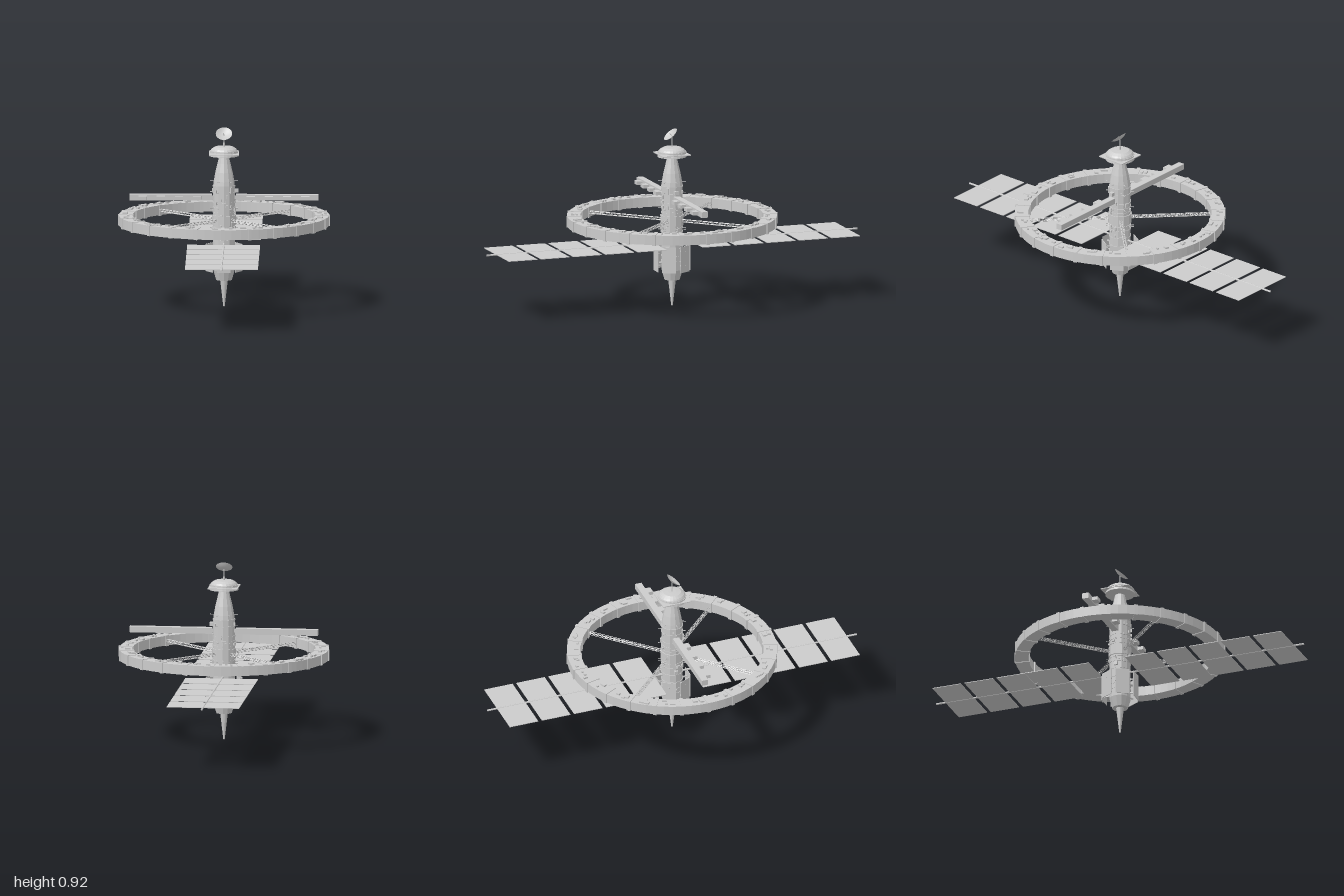
import * as THREE from 'three';

const V = (x, y, z) => new THREE.Vector3(x, y, z);

export function createModel() {
  const root = new THREE.Group();
  root.name = 'spaceStation';
  const flat = new THREE.MeshStandardMaterial({ color: 0xcccccc, flatShading: true });
  const flatDouble = new THREE.MeshStandardMaterial({ color: 0xcccccc, flatShading: true, side: THREE.DoubleSide });
  const smooth = new THREE.MeshStandardMaterial({ color: 0xcccccc, side: THREE.DoubleSide });

  let seed = 7;
  const rand = () => (seed = (seed * 16807) % 2147483647) / 2147483647;

  const add = (parent, name, geo, x = 0, y = 0, z = 0, mat = flat) => {
    const m = new THREE.Mesh(geo, mat);
    m.name = name;
    m.position.set(x, y, z);
    parent.add(m);
    return m;
  };
  const group = (name, parent = root, turn = 0) => {
    const g = new THREE.Group();
    g.name = name;
    g.rotation.y = turn;
    parent.add(g);
    return g;
  };
  const box = (p, name, w, h, d, x, y, z) => add(p, name, new THREE.BoxGeometry(w, h, d), x, y, z);
  const lathe = (p, name, pts, n, mat = flat) =>
    add(p, name, new THREE.LatheGeometry(pts.map(([r, y]) => new THREE.Vector2(r, y)), n), 0, 0, 0, mat);
  const strut = (p, name, a, b, r, sides = 6) => {
    const m = add(p, name, new THREE.CylinderGeometry(r, r, a.distanceTo(b), sides));
    m.position.copy(a).add(b).multiplyScalar(0.5);
    m.quaternion.setFromUnitVectors(V(0, 1, 0), b.clone().sub(a).normalize());
    return m;
  };

  // Central hull: engine shroud, straight body and tapering nose
  const core = group('core');
  lathe(core, 'hull', [[0, 0.138], [0.04, 0.138], [0.055, 0.19], [0.055, 0.62], [0.052, 0.645],
    [0.044, 0.69], [0.033, 0.735], [0.022, 0.785], [0, 0.785]], 12);
  lathe(core, 'tailSpike', [[0, 0], [0.004, 0.003], [0.02, 0.14]], 16);
  for (const y of [0.235, 0.262, 0.3, 0.345, 0.385, 0.41, 0.485, 0.51, 0.535, 0.585, 0.62])
    add(core, 'hullRib', new THREE.CylinderGeometry(0.0575, 0.0575, 0.006, 12), 0, y, 0);
  add(core, 'hubCollar', new THREE.CylinderGeometry(0.06, 0.06, 0.05, 12), 0, 0.446, 0);

  // Hull fittings: rods and equipment boxes in rings around the body
  [0.265, 0.395, 0.405, 0.505, 0.59, 0.645].forEach((y, row) => {
    for (let i = 0; i < 6; i++) {
      const g = group('hullFitting', core, i * Math.PI / 3 + (row % 2) * 0.05);
      strut(g, 'rod', V(0.045, y, 0), V(0.072, y, 0), 0.0018);
    }
  });
  for (let i = 0; i < 40; i++) {
    const g = group('hullFitting', core, (Math.floor(rand() * 12) + 0.5) * Math.PI / 6);
    box(g, 'hullBox', 0.012, 0.006 + rand() * 0.014, 0.006 + rand() * 0.012, 0.055, 0.34 + rand() * 0.28, 0);
  }
  box(core, 'sidePod', 0.02, 0.018, 0.02, 0.063, 0.595, 0);
  box(core, 'sidePod', 0.014, 0.018, 0.018, -0.058, 0.365, 0);

  // Command dome with square plate
  const dome = group('commandDome');
  lathe(dome, 'domeShell', [[0, 0.768], [0.045, 0.768], [0.075, 0.773], [0.074, 0.78], [0.068, 0.802],
    [0.062, 0.81], [0.046, 0.82], [0.02, 0.822], [0, 0.822]], 24);
  box(dome, 'squarePlate', 0.152, 0.004, 0.152, 0, 0.787, 0);
  add(dome, 'domeBand', new THREE.CylinderGeometry(0.073, 0.073, 0.004, 24), 0, 0.797, 0);

  // Tilted dish on a mast
  const antenna = group('antenna');
  strut(antenna, 'mastBase', V(0, 0.82, 0), V(0, 0.84, 0), 0.004, 8);
  strut(antenna, 'mast', V(0, 0.83, 0), V(0, 0.878, 0), 0.002);
  const dish = group('dish', antenna);
  dish.position.set(0, 0.878, 0);
  dish.rotation.x = 0.72;
  lathe(dish, 'dishBowl', [[0, 0], [0.015, 0.001], [0.03, 0.006], [0.042, 0.013]], 24, smooth);
  strut(dish, 'dishFeed', V(0, 0, 0), V(0, 0.018, 0), 0.0015);

  // Habitat ring with frames and rooftop equipment
  const ring = group('habitatRing');
  lathe(ring, 'ringBody', [[0.464, 0.42], [0.533, 0.42], [0.533, 0.47], [0.464, 0.47], [0.464, 0.42]], 72);
  for (let i = 0; i < 24; i++) {
    const g = group('ringSection', ring, i * Math.PI / 12);
    box(g, 'frame', 0.077, 0.056, 0.018, 0.498, 0.445, 0);
    for (let k = 0; k < 3; k++)
      box(group('rooftop', g, 0.05 + rand() * 0.17), 'roofBox', 0.008 + rand() * 0.016,
        0.012, 0.008 + rand() * 0.02, 0.48 + rand() * 0.036, 0.472, 0);
  }

  // Four lattice spokes on the diagonals
  for (let q = 0; q < 4; q++) {
    const g = group('spoke', root, Math.PI / 4 + q * Math.PI / 2);
    const w = 0.006, n = 18, at = i => 0.05 + 0.42 * i / n;
    for (const s of [-1, 1])
      for (const t of [-1, 1])
        strut(g, 'rail', V(0.05, 0.445 + s * w, t * w), V(0.47, 0.445 + s * w, t * w), 0.0016, 4);
    for (let i = 0; i < n; i++) {
      const s = i % 2 ? w : -w;
      for (const t of [-w, w]) {
        strut(g, 'brace', V(at(i), 0.445 + s, t), V(at(i + 1), 0.445 - s, t), 0.0012, 4);
        strut(g, 'brace', V(at(i), 0.445 + t, s), V(at(i + 1), 0.445 + t, -s), 0.0012, 4);
      }
    }
  }

  // Cross beam with a row of modules on its front
  const beam = group('crossBeam');
  for (const s of [-1, 1]) {
    box(beam, 'beamArm', 0.42, 0.03, 0.034, s * 0.27, 0.561, -0.002);
    box(beam, 'beamRoot', 0.03, 0.016, 0.02, s * 0.05, 0.561, 0);
    for (let i = 0; i < 4; i++)
      box(beam, 'beamModule', 0.042, 0.018, 0.032, s * (0.136 + i * 0.092), 0.561, 0.029);
  }

  // Solar wings: five panels per side on one long boom
  const wings = group('solarWings');
  strut(wings, 'boom', V(0, 0.33, -1), V(0, 0.33, 1), 0.005, 8);
  for (const s of [-1, 1])
    for (let i = 0; i < 5; i++)
      box(wings, 'solarPanel', 0.37, 0.003, 0.154, 0, 0.33, s * (0.175 + i * 0.174));

  // Six radiator plates around the lower hull
  for (let i = 0; i < 6; i++) {
    const g = group('radiator', root, i * Math.PI / 3);
    box(g, 'plate', 0.07, 0.135, 0.003, 0, 0.252, 0.086);
    for (const y of [0.215, 0.29]) box(g, 'bracket', 0.006, 0.006, 0.045, 0, y, 0.066);
  }
  return root;
}
